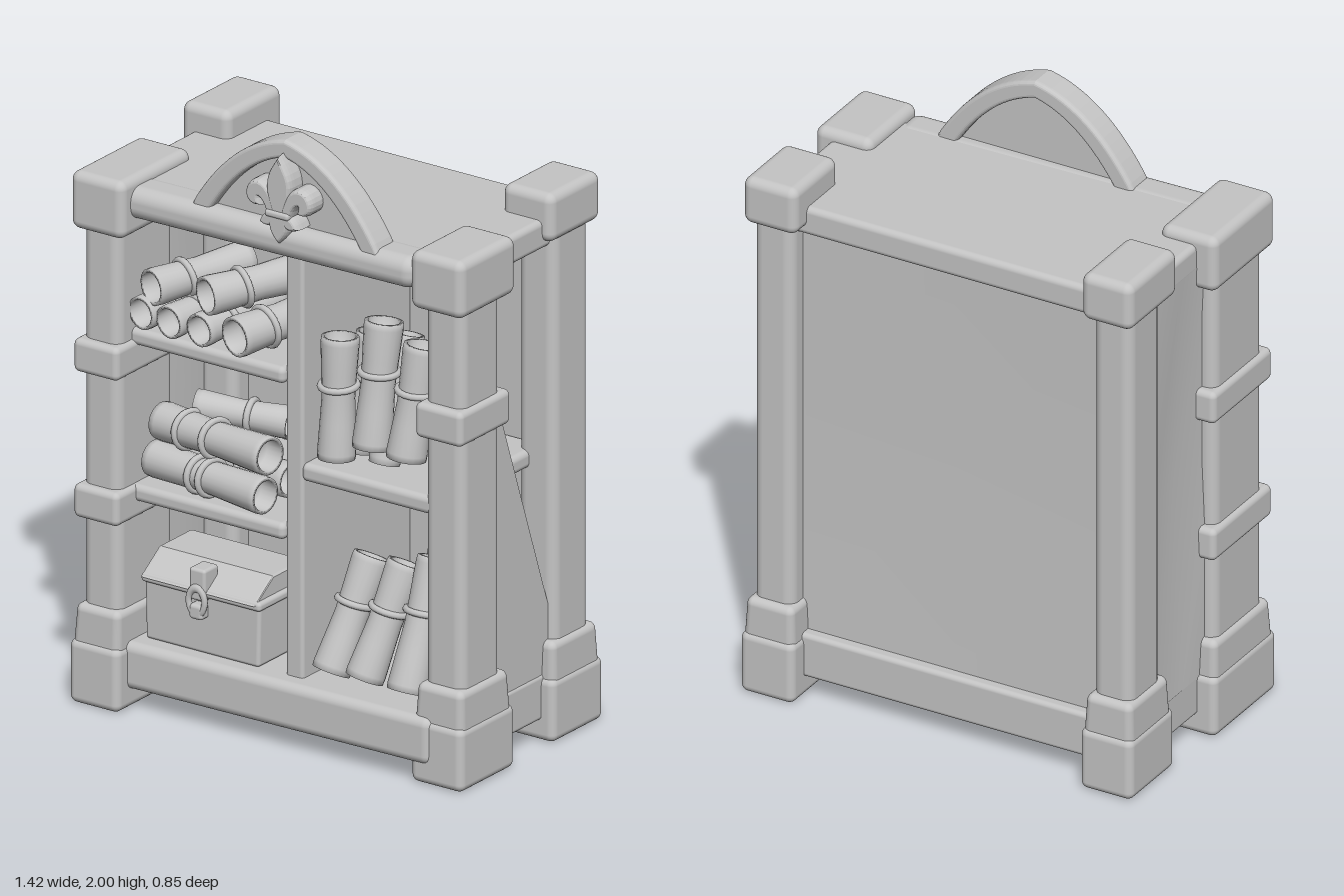
import * as THREE from 'three';
import { RoundedBoxGeometry } from 'three/addons/geometries/RoundedBoxGeometry.js';

export function createModel() {
  const model = new THREE.Group();
  const stone = new THREE.MeshStandardMaterial({ color: 0xc4c4c4, side: THREE.DoubleSide });
  stone.name = 'light grey';

  const add = (name, geometry, parent = model) => {
    const mesh = new THREE.Mesh(geometry, stone);
    mesh.name = name;
    parent.add(mesh);
    return mesh;
  };
  const group = (name) => {
    const g = new THREE.Group();
    g.name = name;
    model.add(g);
    return g;
  };
  // Rounded block given by its limits
  const block = (name, [x0, x1], [y0, y1], [z0, z1], r = 0.02, parent = model) => {
    const g = new RoundedBoxGeometry(x1 - x0, y1 - y0, z1 - z0, 4, r);
    const m = add(name, g, parent);
    m.position.set((x0 + x1) / 2, (y0 + y1) / 2, (z0 + z1) / 2);
    return m;
  };
  // Panel whose middle is pushed in, with soft shading
  const dished = (name, w, h, depth, turn, [x, y, z]) => {
    const g = new THREE.PlaneGeometry(w, h, 2, 2);
    g.attributes.position.setZ(4, -depth);
    g.computeVertexNormals();
    const m = add(name, g);
    m.rotation.y = turn;
    m.position.set(x, y, z);
  };

  // Corner posts: shaft, foot, collar, cap and bands
  const corner = (name, x, z, cap, capX, capZ, bands) => {
    const g = group(name);
    const grow = ([a, b], d) => [a - d, b + d];
    block('shaft', x, [0.1, cap[0] + 0.05], z, 0.035, g);
    block('foot', grow(x, 0.025), [0, 0.21], grow(z, 0.04), 0.025, g);
    const collar = block('collar', grow(x, 0.02), [0.15, 0.325], grow(z, 0.032), 0.025, g);
    const p = collar.geometry.attributes.position;
    for (let i = 0; i < p.count; i++) {
      if (p.getY(i) > 0) {
        p.setX(i, p.getX(i) * 0.93);
        p.setZ(i, p.getZ(i) * 0.94);
      }
    }
    block('cap', capX, cap, capZ, 0.03, g);
    for (const b of bands) block('band', grow(x, 0.016), b, grow(z, 0.03), 0.02, g);
  };
  corner('frontRightPost', [-0.687, -0.55], [0.095, 0.39], [1.56, 1.75], [-0.715, -0.515], [0.05, 0.42],
    [[1.09, 1.2], [0.61, 0.72]]);
  corner('frontLeftPost', [0.54, 0.685], [0.1, 0.307], [1.56, 1.75], [0.51, 0.71], [0.052, 0.346], [[1.135, 1.25]]);
  corner('backRightPost', [-0.665, -0.53], [-0.378, -0.19], [1.645, 1.805], [-0.69, -0.51], [-0.42, -0.13], []);
  corner('backLeftPost', [0.535, 0.675], [-0.378, -0.19], [1.645, 1.805], [0.5, 0.69], [-0.42, -0.155], []);

  // Carcass
  block('topBoard', [-0.648, 0.655], [1.62, 1.717], [-0.35, 0.28], 0.02);
  block('baseBoard', [-0.648, 0.655], [0.07, 0.22], [-0.35, 0.28], 0.015);
  block('topRail', [-0.58, 0.53], [1.615, 1.72], [0.22, 0.365], 0.045).rotation.y = 0.02;
  block('bottomRail', [-0.6, 0.594], [0.065, 0.22], [0.22, 0.368], 0.03).rotation.y = 0.018;
  dished('backPanel', 1.12, 1.44, 0.025, Math.PI, [0, 0.92, -0.312]);
  dished('rightSidePanel', 0.36, 1.44, 0.03, -Math.PI / 2, [-0.65, 0.92, -0.04]);
  block('innerBack', [-0.6, 0.6], [0.2, 1.64], [-0.275, -0.265], 0.003);
  block('divider', [0.015, 0.08], [0.2, 1.64], [-0.27, 0.3], 0.012);
  block('upperRightShelf', [-0.6, 0.02], [1.18, 1.235], [-0.27, 0.32], 0.02);
  block('lowerRightShelf', [-0.6, 0.02], [0.665, 0.72], [-0.27, 0.32], 0.02);
  block('leftShelf', [0.07, 0.58], [0.87, 0.93], [-0.27, 0.3], 0.02);

  // Partly open side: a wedge-shaped board
  const wedge = new THREE.Shape([[-0.12, 0.2], [-0.12, 1.32], [0.2, 0.42], [0.2, 0.2]]
    .map(([x, y]) => new THREE.Vector2(x, y)));
  const side = add('leftSidePanel', new THREE.ExtrudeGeometry(wedge, { depth: 0.012, bevelEnabled: false }));
  side.rotation.y = Math.PI / 2;
  side.position.x = 0.638;

  // Pointed arch crest
  const rim = new THREE.Shape();
  rim.moveTo(-0.345, 1.7);
  rim.quadraticCurveTo(-0.2, 1.95, 0, 1.99);
  rim.quadraticCurveTo(0.2, 1.95, 0.345, 1.7);
  rim.lineTo(0.3, 1.7);
  rim.quadraticCurveTo(0.17, 1.915, 0, 1.955);
  rim.quadraticCurveTo(-0.17, 1.915, -0.3, 1.7);
  rim.closePath();
  const crest = group('crest');
  crest.position.x = 0.04;
  add('archRim', new THREE.ExtrudeGeometry(rim, {
    depth: 0.07, bevelThickness: 0.016, bevelSize: 0.012, bevelSegments: 4, curveSegments: 16,
  }), crest).position.z = 0.259;
  const infill = new THREE.Shape();
  infill.moveTo(-0.31, 1.7);
  infill.quadraticCurveTo(-0.18, 1.92, 0, 1.96);
  infill.quadraticCurveTo(0.18, 1.92, 0.31, 1.7);
  add('archPanel', new THREE.ExtrudeGeometry(infill, { depth: 0.035, bevelEnabled: false, curveSegments: 16 }), crest)
    .position.z = 0.275;

  // Carved lily ornament
  const carve = (name, shape) => add(name, new THREE.ExtrudeGeometry(shape, {
    depth: 0.03, bevelThickness: 0.03, bevelSize: 0.012, bevelSegments: 4, curveSegments: 8,
  }), crest).position.z = 0.32;
  const petal = new THREE.Shape();
  petal.moveTo(0, 1.945);
  petal.bezierCurveTo(0.02, 1.9, 0.06, 1.88, 0.012, 1.77);
  petal.lineTo(-0.012, 1.77);
  petal.bezierCurveTo(-0.06, 1.88, -0.02, 1.9, 0, 1.945);
  carve('centrePetal', petal);
  const tail = new THREE.Shape();
  tail.moveTo(0.012, 1.77);
  tail.quadraticCurveTo(0.045, 1.73, 0, 1.685);
  tail.quadraticCurveTo(-0.045, 1.73, -0.012, 1.77);
  carve('tail', tail);
  for (const s of [-1, 1]) {
    const leaf = new THREE.Shape();
    leaf.moveTo(s * 0.018, 1.77);
    leaf.bezierCurveTo(s * 0.03, 1.84, s * 0.07, 1.87, s * 0.1, 1.845);
    leaf.bezierCurveTo(s * 0.125, 1.82, s * 0.11, 1.785, s * 0.08, 1.79);
    leaf.bezierCurveTo(s * 0.1, 1.83, s * 0.055, 1.835, s * 0.035, 1.77);
    carve('sidePetal', leaf);
    const curl = new THREE.Shape();
    curl.moveTo(s * 0.015, 1.762);
    curl.quadraticCurveTo(s * 0.03, 1.72, s * 0.06, 1.735);
    curl.quadraticCurveTo(s * 0.05, 1.755, s * 0.03, 1.762);
    carve('lowerCurl', curl);
  }
  block('ornamentBand', [-0.045, 0.045], [1.757, 1.78], [0.3, 0.388], 0.01, crest);

  // Rolled scroll from a to b, hollow at both ends, tied at the given fractions
  const scroll = (a, b, r, ties = [0.6]) => {
    const start = new THREE.Vector3(...a);
    const dir = new THREE.Vector3(...b).sub(start);
    const L = dir.length();
    const profile = [[0, 0.06], [0.78, 0.06], [0.8, 0], [0.98, 0], [1, 0.02], [0.92, L * 0.3], [0.86, L * 0.5],
      [0.92, L * 0.7], [1, L - 0.02], [0.98, L], [0.8, L], [0.78, L - 0.06], [0, L - 0.06]]
      .map(([k, y]) => new THREE.Vector2(k * r, y));
    const g = group('scroll');
    g.position.copy(start);
    g.quaternion.setFromUnitVectors(new THREE.Vector3(0, 1, 0), dir.normalize());
    add('paper', new THREE.LatheGeometry(profile, 20), g);
    for (const t of ties) {
      const tie = add('tie', new THREE.TorusGeometry(r * 0.95, 0.011, 8, 20), g);
      tie.rotation.x = Math.PI / 2 + 0.12;
      tie.position.y = L * t;
    }
  };

  // Pile on the upper shelf, ends facing forward
  for (const [x, y, r, dx] of [[-0.505, 1.3, 0.055, 0.06], [-0.4, 1.295, 0.055, 0.05], [-0.285, 1.295, 0.055, 0.05],
    [-0.15, 1.305, 0.066, 0.09], [-0.465, 1.395, 0.06, 0.12], [-0.26, 1.415, 0.063, 0.15]]) {
    scroll([x, y, 0.335], [x + dx, y + 0.015, 0.0], r, [0.35]);
  }
  // Stack lying across the middle shelf
  scroll([-0.53, 0.785, 0.23], [-0.07, 0.785, 0.29], 0.06, [0.42, 0.52]);
  scroll([-0.52, 0.9, 0.2], [-0.06, 0.915, 0.28], 0.062, [0.25, 0.5]);
  scroll([-0.5, 0.785, 0.1], [-0.08, 0.785, 0.14], 0.057);
  scroll([-0.43, 0.955, 0.15], [-0.15, 0.93, 0.05], 0.052);
  // Upright scrolls leaning back in the two tall bays
  for (const [x0, y0, z0, x1, y1, z1, r] of [
    [0.192, 0.97, 0.28, 0.185, 1.36, 0.25, 0.06], [0.318, 1.03, 0.27, 0.322, 1.43, 0.21, 0.062],
    [0.44, 1.02, 0.26, 0.465, 1.38, 0.2, 0.064],
    [0.185, 0.95, 0.15, 0.2, 1.33, 0.1, 0.052], [0.315, 0.955, 0.2, 0.33, 1.35, 0.09, 0.05],
    [0.455, 0.945, 0.0, 0.48, 1.39, 0.01, 0.06],
    [0.15, 0.245, 0.25, 0.2, 0.59, 0.1, 0.062], [0.275, 0.25, 0.25, 0.335, 0.6, 0.11, 0.062],
    [0.435, 0.245, 0.25, 0.445, 0.64, 0.1, 0.064],
    [0.38, 0.24, 0.1, 0.41, 0.66, 0.0, 0.055], [0.48, 0.24, 0.12, 0.5, 0.66, 0.03, 0.055]]) {
    scroll([x0, y0, z0], [x1, y1, z1], r);
  }

  // Chest with tapered body, gabled lid and clasp
  const chest = group('chest');
  const body = block('chestBody', [-0.51, -0.075], [0.22, 0.43], [-0.02, 0.31], 0.012, chest);
  const bp = body.geometry.attributes.position;
  for (let i = 0; i < bp.count; i++) if (bp.getY(i) < 0) bp.setX(i, bp.getX(i) * 0.98);
  block('lidRim', [-0.515, -0.065], [0.41, 0.44], [-0.03, 0.325], 0.012, chest);
  const lid = new THREE.Shape([[-0.325, 0.43], [-0.23, 0.495], [-0.07, 0.495], [0.03, 0.43]]
    .map(([x, y]) => new THREE.Vector2(x, y)));
  const lidMesh = add('chestLid', new THREE.ExtrudeGeometry(lid, {
    depth: 0.41, bevelThickness: 0.01, bevelSize: 0.004, bevelSegments: 2,
  }), chest);
  lidMesh.rotation.y = Math.PI / 2;
  lidMesh.position.x = -0.5;
  block('hasp', [-0.325, -0.265], [0.4, 0.505], [0.26, 0.335], 0.01, chest);
  const ring = add('claspRing', new THREE.TorusGeometry(0.03, 0.01, 8, 20), chest);
  ring.position.set(-0.295, 0.4, 0.335);
  ring.scale.y = 1.4;
  block('lock', [-0.32, -0.27], [0.34, 0.39], [0.29, 0.345], 0.012, chest);

  return model;
}
